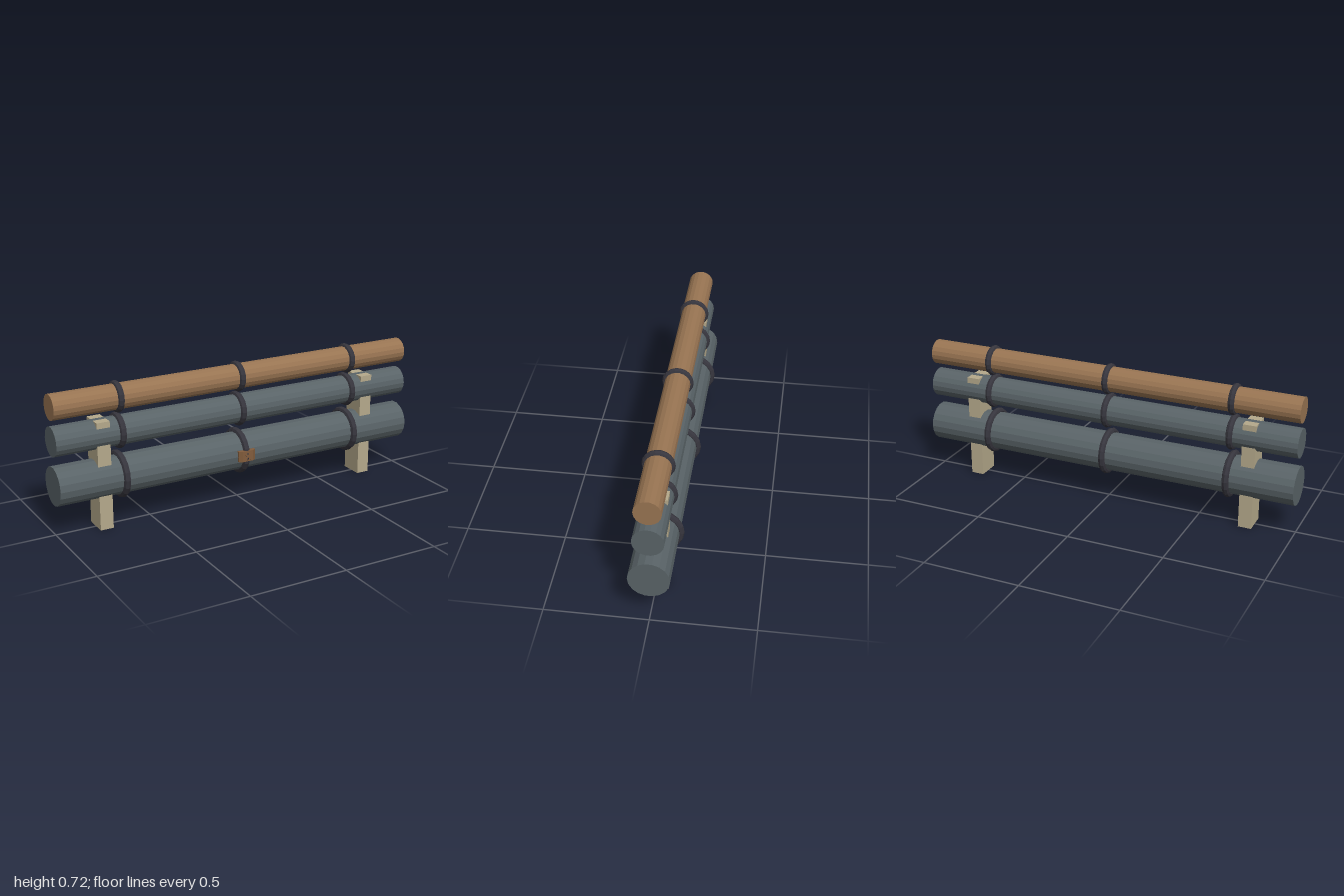
import * as THREE from 'three';

const mat = (name, color) => {
  const m = new THREE.MeshStandardMaterial({ color });
  m.name = name;
  m.flatShading = true;
  return m;
};

export function createModel() {
  const model = new THREE.Group();
  model.name = 'pipeRack';
  const steel = mat('blueGreySteel', 0x596367);
  const copper = mat('copperBrown', 0x987452);
  const band = mat('darkBand', 0x36353d);
  const post = mat('paleWood', 0xb5a98b);
  const leather = mat('buckleBrown', 0x825c3c);

  const add = (name, geometry, material, x, y, z) => {
    const mesh = new THREE.Mesh(geometry, material);
    mesh.name = name;
    mesh.position.set(x, y, z);
    model.add(mesh);
    return mesh;
  };

  // Three horizontal pipes, each with three round bands
  const tube = 0.0175;
  const pipes = [
    ['lowerPipe', 0.252, 0.0985, 0.12, steel],
    ['middlePipe', 0.477, 0.0745, 0.09, steel],
    ['upperPipe', 0.647, 0.0645, 0.079, copper],
  ];
  for (const [name, y, radius, outer, material] of pipes) {
    add(name, new THREE.CylinderGeometry(radius, radius, 2, 18).rotateZ(Math.PI / 2), material, 0, y, 0);
    for (const x of [-0.66, 0, 0.66]) {
      add(name + 'Band', new THREE.TorusGeometry(outer - tube, tube, 8, 18).rotateY(Math.PI / 2), band, x, y, 0);
    }
  }

  // Upright posts running through the two lower pipes
  for (const side of [-1, 1]) {
    add('post', new THREE.BoxGeometry(0.068, 0.55, 0.12), post, side * 0.757, 0.275, 0);
  }

  // Bevelled buckle over the front of the lower middle band
  const plate = new THREE.Shape([
    [-0.048, 0.085], [0.048, 0.085], [0.046, 0.106], [0.03, 0.116], [-0.03, 0.116], [-0.046, 0.106],
  ].map(([x, z]) => new THREE.Vector2(x, -z)));
  const plateGeometry = new THREE.ExtrudeGeometry(plate, { depth: 0.056, bevelEnabled: false });
  plateGeometry.rotateX(-Math.PI / 2);
  add('buckle', plateGeometry, leather, 0, 0.227, 0);

  // Crossed straps on the buckle
  for (const side of [-1, 1]) {
    const strap = add('buckleStrap', new THREE.BoxGeometry(0.052, 0.008, 0.006), leather, 0, 0.255, 0.119);
    strap.rotation.z = side * 0.75;
  }

  return model;
}
